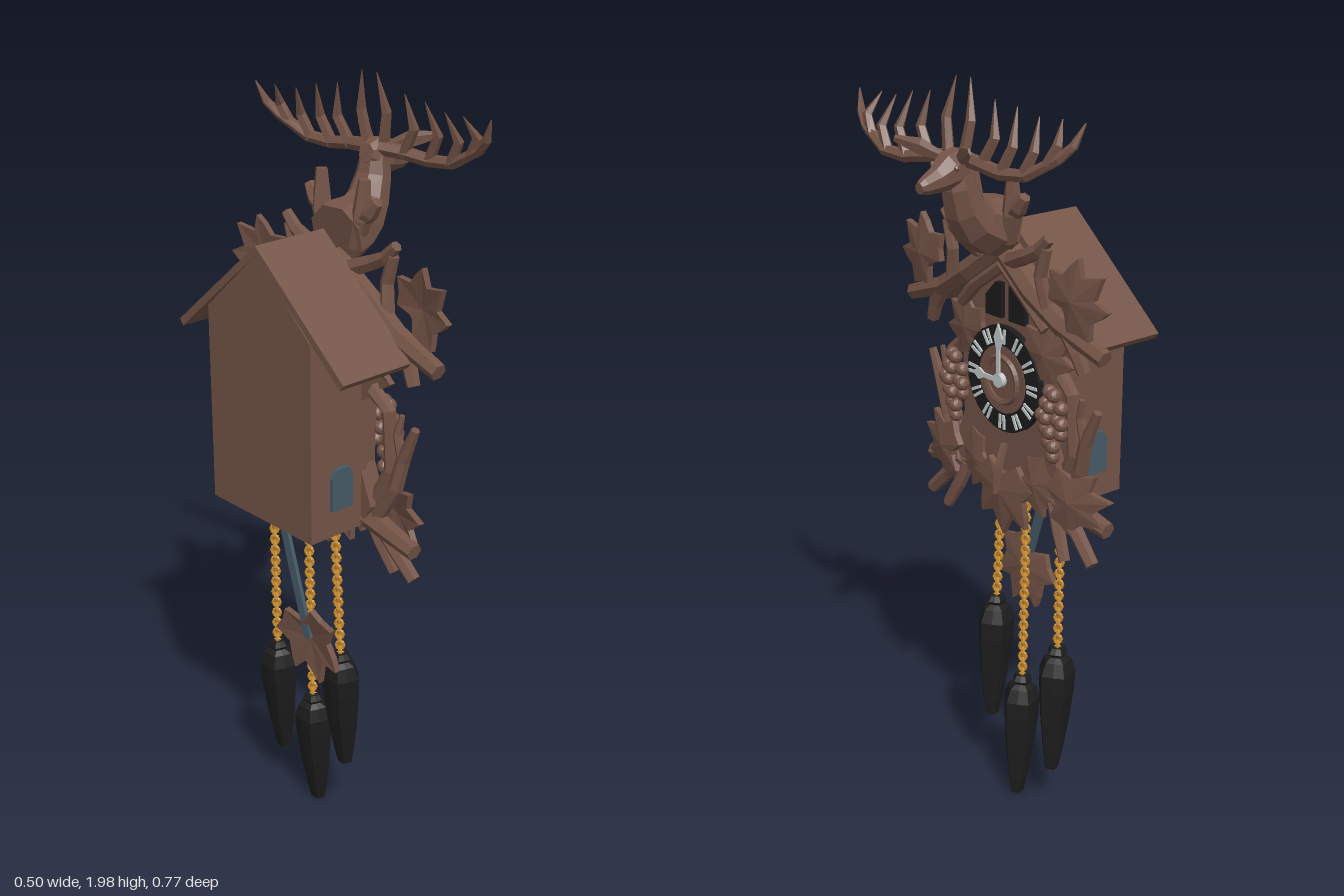
import * as THREE from 'three';

const mat = (color) => new THREE.MeshStandardMaterial({ color, flatShading: true, side: THREE.DoubleSide });
const WOOD = mat(0x735346), BLACK = mat(0x1c1c1c), GOLD = mat(0xc98d30), STEEL = mat(0x465a66), PALE = mat(0xc4cccc);

function add(parent, name, geometry, material, x = 0, y = 0, z = 0) {
  const mesh = new THREE.Mesh(geometry, material);
  mesh.name = name;
  mesh.position.set(x, y, z);
  parent.add(mesh);
  return mesh;
}

function fromTriangles(list) {
  const g = new THREE.BufferGeometry().setFromPoints(list);
  g.computeVertexNormals();
  return g;
}

// Faceted limb through points [x, y, z, radius], closed at both ends
function limb(points, sides = 6, ref = new THREE.Vector3(0, 0, 1), squash = [1, 1]) {
  const P = points.map((p) => new THREE.Vector3(p[0], p[1], p[2]));
  const rings = P.map((p, i) => {
    const t = P[Math.min(i + 1, P.length - 1)].clone().sub(P[Math.max(i - 1, 0)]).normalize();
    const a = ref.clone().cross(t).normalize(), b = t.clone().cross(a);
    return Array.from({ length: sides }, (_, j) => {
      const q = ((j + 0.5) / sides) * Math.PI * 2, r = points[i][3];
      return p.clone().addScaledVector(a, Math.cos(q) * r * squash[0]).addScaledVector(b, Math.sin(q) * r * squash[1]);
    });
  });
  const tris = [], last = P.length - 1;
  for (let j = 0; j < sides; j++) {
    const k = (j + 1) % sides;
    for (let i = 0; i < last; i++) {
      const [A, B] = [rings[i], rings[i + 1]];
      tris.push(A[j], A[k], B[k], A[j], B[k], B[j]);
    }
    tris.push(P[0], rings[0][k], rings[0][j], P[last], rings[last][j], rings[last][k]);
  }
  return fromTriangles(tris);
}

// Broad lobed leaf with a slightly raised middle, tip pointing up
function leafGeometry(r, thick = 0.016) {
  const half = [[0, 1.05], [12, 0.78], [28, 0.62], [44, 1.02], [58, 0.84], [80, 0.66],
    [102, 0.98], [122, 0.76], [145, 0.78], [170, 0.4]];
  const polar = [...half, ...half.slice(1).reverse().map(([a, d]) => [360 - a, d])];
  const rim = polar.map(([a, d]) => {
    const q = THREE.MathUtils.degToRad(a);
    return new THREE.Vector3(-Math.sin(q) * d * r, Math.cos(q) * d * r, -0.08 * r * d);
  });
  const down = (v) => v.clone().setZ(v.z - thick);
  const mid = new THREE.Vector3(0, 0, 0.06 * r), tris = [];
  rim.forEach((p, i) => {
    const q = rim[(i + 1) % rim.length];
    tris.push(mid, p, q, down(mid), down(q), down(p), p, down(p), down(q), p, down(q), q);
  });
  return fromTriangles(tris);
}

function leaf(parent, x, y, z, r, turn, tilt = 0) {
  const m = add(parent, 'leaf', leafGeometry(r), WOOD, x, y, z);
  m.rotation.set(0, tilt, THREE.MathUtils.degToRad(turn));
  return m;
}

function extrude(points, depth) {
  const shape = new THREE.Shape(points.map((p) => new THREE.Vector2(...p)));
  return new THREE.ExtrudeGeometry(shape, { depth, bevelEnabled: false });
}

function buildHouse(g) {
  // Body, roof and side doors
  const c = 0.012;
  add(g, 'house', extrude([[c - 0.187, 0.94], [c + 0.187, 0.94], [c + 0.187, 1.45], [c, 1.618], [c - 0.187, 1.45]], 0.18), WOOD, 0, 0, -0.248);
  add(g, 'roof', extrude([[c - 0.302, 1.385], [c - 0.29, 1.37], [c, 1.617], [c + 0.29, 1.37], [c + 0.302, 1.385], [c, 1.64]], 0.21), WOOD, 0, 0, -0.25);
  for (const s of [-1, 1]) {
    const d = extrude([[-0.032, 0], [0.032, 0], [0.032, 0.085], [0.02, 0.108], [-0.02, 0.108], [-0.032, 0.085]], 0.012);
    add(g, 'sideDoor', d, STEEL, c + s * 0.187 - (s > 0 ? 0 : 0.012), 1.012, -0.157).rotation.y = Math.PI / 2;
  }
  // Carved front panel
  const side = [[0.17, 0.93], [0.21, 1.0], [0.17, 1.1], [0.175, 1.27], [0.2, 1.36], [0.15, 1.46], [0, 1.6]];
  add(g, 'frontPanel', extrude([...side, ...side.slice(0, -1).reverse().map(([x, y]) => [-x, y])], 0.05), WOOD, 0, 0, -0.088);
  // Bird doors under the gable
  for (const s of [-1, 1]) {
    add(g, 'birdDoor', extrude([[s * 0.014, 1.39], [s * 0.074, 1.39], [s * 0.074, 1.44], [s * 0.035, 1.48], [s * 0.014, 1.48]], 0.02), BLACK, 0.006, 0, -0.045);
  }
}

function buildDial(g) {
  const dial = new THREE.Group();
  dial.name = 'dial';
  dial.position.set(0.003, 1.235, -0.036);
  g.add(dial);
  const disc = (name, r, d, m, z) => { add(dial, name, new THREE.CylinderGeometry(r, r, d, 32), m, 0, 0, z).rotation.x = Math.PI / 2; };
  disc('hourRing', 0.138, 0.03, BLACK, 0);
  disc('dialCentre', 0.088, 0.034, WOOD, 0);
  add(dial, 'dialMoulding', new THREE.TorusGeometry(0.058, 0.009, 5, 28), WOOD, 0, 0, 0.017);
  disc('handHub', 0.018, 0.02, PALE, 0.022);
  // Hour marks: paired strokes
  for (let i = 0; i < 12; i++) for (const s of [-1, 1]) {
    const a = (i / 12) * Math.PI * 2 + s * 0.07;
    add(dial, 'hourMark', new THREE.BoxGeometry(0.008, 0.038, 0.005), PALE, Math.sin(a) * 0.113, Math.cos(a) * 0.113, 0.016).rotation.z = -a;
  }
  for (const [name, len, a] of [['minuteHand', 0.148, 0], ['hourHand', 0.1, Math.PI / 2]]) {
    const hand = add(dial, name, extrude([[-0.006, 0], [0.006, 0], [0.006, len * 0.55], [0.016, len * 0.75], [0, len], [-0.016, len * 0.75], [-0.006, len * 0.55]], 0.005), PALE, 0, 0, 0.026);
    hand.rotation.z = a;
  }
}

function buildCarving(g) {
  for (const s of [-1, 1]) {
    const branch = (name, pts, n = 6) => add(g, name, limb(pts.map(([x, y, z, r]) => [s * x, y, z, r]), n), WOOD);
    // Gable beams with forked ends
    branch('gableBranch', [[0, 1.575, -0.02, 0.028], [0.12, 1.49, -0.014, 0.03], [0.22, 1.43, -0.02, 0.028], [0.365, 1.38, -0.025, 0.022]]);
    branch('gableFork', [[0.23, 1.43, -0.02, 0.022], [0.27, 1.37, -0.025, 0.02], [0.29, 1.325, -0.03, 0.017]]);
    branch('innerGable', [[0, 1.53, -0.025, 0.018], [0.1, 1.46, -0.02, 0.018], [0.16, 1.4, -0.025, 0.016]]);
    // Upper twigs
    branch('upperBranch', [[0.05, 1.55, -0.01, 0.024], [0.12, 1.58, 0, 0.021], [0.16, 1.6, 0, 0.018], [0.195, 1.635, 0, 0.014]]);
    branch('upperStub', [[0.05, 1.6, 0.002, 0.02], [0.07, 1.67, 0.006, 0.026], [0.075, 1.765, 0.01, 0.015]]);
    branch('upperStubFork', [[0.06, 1.66, 0.005, 0.018], [0.095, 1.69, 0.008, 0.022], [0.12, 1.72, 0.01, 0.014]]);
    branch('outerTwig', [[0.18, 1.46, -0.01, 0.018], [0.165, 1.54, 0, 0.017], [0.185, 1.61, 0, 0.015]]);
    // Side and lower branches
    branch('sideBranch', [[0.2, 0.96, -0.06, 0.022], [0.26, 1.06, -0.055, 0.02], [0.28, 1.14, -0.05, 0.018], [0.32, 1.23, -0.05, 0.011]]);
    branch('sideTwig', [[0.28, 1.13, -0.05, 0.014], [0.26, 1.2, -0.05, 0.012], [0.27, 1.25, -0.045, 0.007]]);
    branch('innerSideBranch', [[0.17, 1.3, -0.055, 0.02], [0.23, 1.25, -0.05, 0.018], [0.24, 1.1, -0.05, 0.018], [0.19, 1.0, -0.055, 0.02]]);
    branch('lowerBranch', [[0.1, 0.97, -0.06, 0.03], [0.22, 0.95, -0.065, 0.028], [0.345, 0.925, -0.07, 0.022]]);
    branch('lowerFork', [[0.19, 0.96, -0.05, 0.024], [0.26, 0.89, -0.05, 0.02], [0.32, 0.83, -0.045, 0.018]]);
    branch('lowerTwig', [[0.17, 0.95, -0.05, 0.02], [0.2, 0.88, -0.04, 0.018], [0.235, 0.815, -0.03, 0.015]]);
    // Leaves
    leaf(g, s * 0.285, 1.505, 0.01, 0.102, -s * 50, s * 0.1);
    leaf(g, s * 0.25, 0.98, -0.025, 0.115, -s * 78, s * 0.2).scale.x = 0.8;
    leaf(g, s * 0.15, 1.335, -0.025, 0.09, -s * 55, s * 0.1);
    leaf(g, s * 0.115, 0.985, -0.028, 0.09, -s * 120, s * 0.1);
    // Grape clusters
    for (let row = 0; row < 6; row++) {
      const n = [2, 3, 4, 3, 2, 1][row];
      for (let i = 0; i < n; i++) {
        add(g, 'grape', new THREE.IcosahedronGeometry(0.019, 1), WOOD,
          s * 0.19 + (i - (n - 1) / 2) * 0.028, 1.25 - row * 0.033, -0.025 + (i % 2) * 0.012);
      }
    }
  }
  leaf(g, 0, 0.935, -0.015, 0.12, 180);
  add(g, 'centreStem', limb([[0, 1.06, -0.03, 0.01], [0, 1.0, -0.01, 0.012], [0, 0.93, 0, 0.007]], 5), WOOD);
}

function buildStag(g) {
  const stag = new THREE.Group();
  stag.name = 'stag';
  stag.rotation.y = 0.15;
  stag.position.x = -0.008;
  g.add(stag);
  const X = new THREE.Vector3(1, 0, 0);
  add(stag, 'neck', limb([[0, 1.625, -0.02, 0.078], [0, 1.635, 0.025, 0.076], [0, 1.655, 0.07, 0.064], [0, 1.69, 0.1, 0.053], [0, 1.745, 0.12, 0.044], [0, 1.795, 0.125, 0.036]], 8, X), WOOD);
  add(stag, 'head', limb([[0, 1.8, 0.09, 0.024], [0, 1.795, 0.115, 0.042], [0, 1.783, 0.155, 0.045], [0, 1.768, 0.195, 0.031], [0, 1.76, 0.235, 0.021], [0, 1.758, 0.25, 0.014]], 8, X, [1, 0.9]), WOOD);
  for (const s of [-1, 1]) {
    const part = (name, pts, n = 5, sq) => add(stag, name, limb(pts.map(([x, y, z, r]) => [s * x, y, z, r]), n, undefined, sq), WOOD);
    // Ears are turned a little to one side
    part('ear', [[0.025, 1.81, 0.145, 0.012], [0.07 - s * 0.008, 1.83, 0.165, 0.022], [0.118 - s * 0.02, 1.845, 0.188, 0.009]], 5, [1, 0.4]);
    add(stag, 'eye', new THREE.IcosahedronGeometry(0.008, 0), WOOD, s * 0.037, 1.795, 0.165);
    part('antler', [[0.02, 1.81, 0.12, 0.019], [0.08, 1.805, 0.132, 0.017], [0.15, 1.795, 0.14, 0.016],
      [0.22, 1.8, 0.138, 0.015], [0.3, 1.845, 0.122, 0.013], [0.33, 1.875, 0.108, 0.011], [0.35, 1.925, 0.092, 0.002]], 6);
    // Tines sweep outward first, then hook up and back
    const tines = [[0.025, 1.82, 0.125, 0.022, 1.99, 0.1], [0.08, 1.8, 0.13, 0.1, 1.95, 0.105],
      [0.145, 1.79, 0.14, 0.162, 1.94, 0.1], [0.21, 1.795, 0.138, 0.222, 1.925, 0.095], [0.275, 1.83, 0.128, 0.28, 1.925, 0.085]];
    for (const [x, y, z, tx, ty, tz] of tines) {
      part('tine', [[x, y, z, 0.015], [tx + 0.016, y + (ty - y) * 0.45, z - 0.008, 0.013], [tx, ty, tz, 0.001]]);
    }
  }
}

function buildHangings(g) {
  // Pine cone weights on chains: [x, cone bottom, z]
  const profile = [[0, 0], [0.018, 0.004], [0.026, 0.05], [0.038, 0.14], [0.047, 0.24], [0.048, 0.29], [0.036, 0.325],
    [0.02, 0.335], [0.026, 0.345], [0.018, 0.36], [0, 0.362]].map((p) => new THREE.Vector2(...p));
  for (const [x, bottom, z] of [[-0.12, 0.198, -0.105], [0.005, 0.008, -0.092], [0.12, 0.133, -0.116]]) {
    const cone = new THREE.LatheGeometry(profile, 10);
    // Pull alternate ridges in for a carved look, then lean the cone
    const p = cone.attributes.position;
    for (let i = 0; i < p.count; i++) {
      const k = Math.floor(i / profile.length) % 2 ? 0.92 : 1.08, low = 1 - p.getY(i) / 0.36;
      p.setXYZ(i, p.getX(i) * k + 0.014 * low, p.getY(i), p.getZ(i) * k + 0.03 * low);
    }
    cone.computeVertexNormals();
    add(g, 'weight', cone, BLACK, x, bottom, z);
    const start = bottom + 0.35, count = Math.round((0.96 - start) / 0.016);
    for (let i = 0; i <= count; i++) {
      const f = i / count;
      const link = add(g, 'chainLink', new THREE.TorusGeometry(0.0085, 0.0055, 5, 8), GOLD,
        x * (1 - 0.08 * f), start + (0.96 - start) * f, z - 0.012 * f);
      link.scale.y = 1.2;
      link.rotation.y = Math.PI / 4 + (i % 2) * Math.PI / 2;
    }
  }
  // Pendulum swung to one side
  add(g, 'pendulumRod', limb([[0, 0.95, -0.195, 0.018], [-0.1, 0.63, -0.195, 0.018]], 4, undefined, [1, 0.4]), STEEL);
  const bob = new THREE.Group();
  bob.name = 'pendulumLeaf';
  bob.position.set(-0.098, 0.632, -0.18);
  bob.rotation.x = -0.08;
  leaf(bob, 0, 0, 0, 0.12, 160);
  g.add(bob);
}

export function createModel() {
  const model = new THREE.Group();
  model.name = 'wallClock';
  // The clock is built facing +z, then turned to face +x
  const clock = new THREE.Group();
  clock.name = 'clock';
  clock.rotation.y = Math.PI / 2;
  model.add(clock);
  for (const build of [buildHouse, buildDial, buildCarving, buildStag, buildHangings]) build(clock);
  return model;
}
